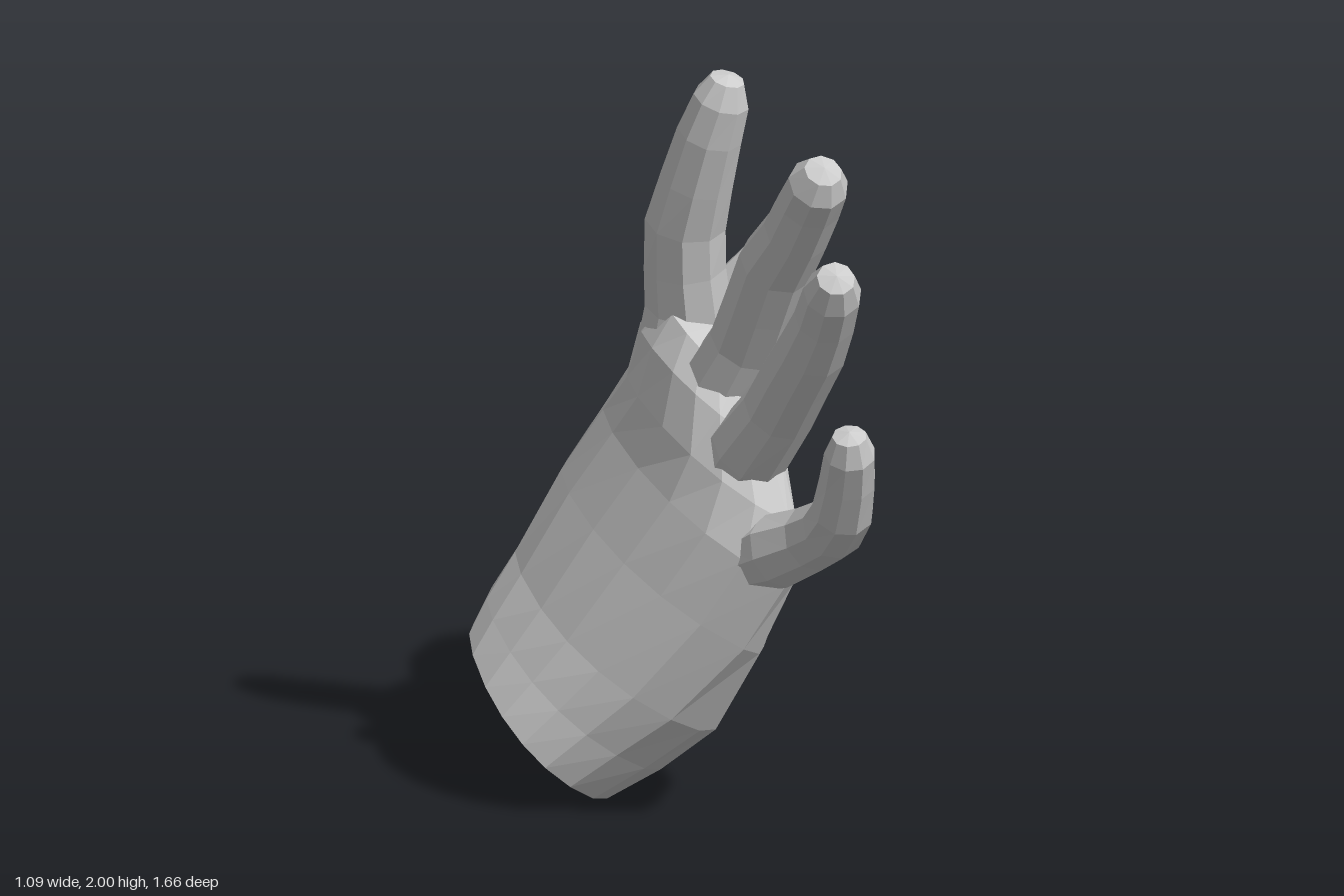
import * as THREE from 'three';

const V = (a) => new THREE.Vector3(...a);
const material = new THREE.MeshStandardMaterial({ color: 0xcccccc, flatShading: true });

// Skin a list of equal-sized rings, closing both ends with a fan.
function loft(name, rings, dome) {
  const n = rings[0].length;
  const centre = (ring) => ring.reduce((s, p) => s.add(p), new THREE.Vector3()).divideScalar(n);
  const tip = centre(rings[rings.length - 1]);
  tip.addScaledVector(tip.clone().sub(centre(rings[rings.length - 2])).normalize(), dome);
  const points = [...rings.flat(), centre(rings[0]), tip];
  const start = rings.length * n, end = start + 1, last = (rings.length - 1) * n;
  const index = [];
  for (let j = 0; j < n; j++) {
    const k = (j + 1) % n;
    for (let i = 0; i < rings.length - 1; i++) {
      const a = i * n + j, b = i * n + k;
      index.push(a, b, b + n, a, b + n, a + n);
    }
    index.push(start, k, j, end, last + j, last + k);
  }
  const indexed = new THREE.BufferGeometry().setFromPoints(points);
  indexed.setIndex(index);
  const geometry = indexed.toNonIndexed();
  geometry.computeVertexNormals();
  const mesh = new THREE.Mesh(geometry, material);
  mesh.name = name;
  return mesh;
}

// Palm section: little-finger edge, thumb edge, back depth, palm depth, depth direction.
function palmRing([little, thumb, back, front, dir = [0.86, -0.5, 0]], sides = 18) {
  const mid = V(little).add(V(thumb)).multiplyScalar(0.5);
  const half = V(little).sub(mid);
  const depth = V(dir).normalize();
  return Array.from({ length: sides }, (_, j) => {
    const a = (j / sides) * Math.PI * 2;
    const [u, v] = [Math.cos(a), Math.sin(a)].map((c) => Math.sign(c) * Math.abs(c) ** 0.9);
    return mid.clone().addScaledVector(half, u).addScaledVector(depth, v * (v > 0 ? front : back));
  });
}

// Digit: centre line points [x, y, z, radius], rings square to the line.
function digit(name, path, sides = 9) {
  const p = path.map(([x, y, z]) => new THREE.Vector3(x, y, z));
  const rings = p.map((c, i) => {
    const t = p[Math.min(i + 1, p.length - 1)].clone().sub(p[Math.max(i - 1, 0)]).normalize();
    const u = new THREE.Vector3(1, -0.3, 0).cross(t).normalize();
    const v = t.clone().cross(u);
    return Array.from({ length: sides }, (_, j) => {
      const a = ((j + 0.5) / sides) * Math.PI * 2, r = path[i][3] * 1.03;
      return c.clone().addScaledVector(u, r * Math.cos(a)).addScaledVector(v, r * Math.sin(a));
    });
  });
  return loft(name, rings, path[path.length - 1][3] * 0.3);
}

export function createModel() {
  const hand = new THREE.Group();
  hand.name = 'hand';

  // Palm, from the cut wrist to the knuckles
  const sections = [
    [[-0.385, 0.065, 0.0], [-0.32, 0.32, -0.62], 0.235, 0.25, [0.8, -0.58, -0.15]],
    [[-0.28, 0.16, 0.07], [-0.24, 0.39, -0.66], 0.26, 0.28, [0.83, -0.55, -0.07]],
    [[-0.16, 0.27, 0.16], [-0.1, 0.49, -0.71], 0.305, 0.27],
    [[0.0, 0.48, 0.28], [0.06, 0.68, -0.745], 0.345, 0.16],
    [[0.09, 0.67, 0.36], [0.14, 0.86, -0.68], 0.33, 0.085],
    [[0.11, 0.83, 0.33], [0.08, 1.02, -0.47], 0.265, 0.095],
    [[0.09, 1.02, 0.23], [0.03, 1.19, -0.36], 0.185, 0.13],
    [[0.08, 1.15, 0.12], [0.03, 1.31, -0.28], 0.115, 0.12],
  ];
  hand.add(loft('palm', sections.map((s) => palmRing(s)), 0.04));

  // Fingers, thumb and the fleshy mound at the thumb's base
  const digits = {
    indexFinger: [
      [-0.02, 1.02, -0.26, 0.08], [0.02, 1.16, -0.23, 0.12], [0.03, 1.3, -0.2, 0.115], [0.01, 1.42, -0.175, 0.108],
      [0.0, 1.55, -0.145, 0.107], [0.01, 1.68, -0.09, 0.097], [0.025, 1.82, -0.035, 0.087],
      [0.045, 1.92, 0.0, 0.075], [0.055, 1.98, 0.018, 0.046],
    ],
    middleFinger: [
      [-0.02, 0.99, -0.06, 0.08], [0.04, 1.12, 0.01, 0.115], [0.08, 1.27, 0.1, 0.102], [0.09, 1.4, 0.18, 0.1],
      [0.1, 1.53, 0.26, 0.1], [0.12, 1.64, 0.355, 0.088], [0.13, 1.74, 0.43, 0.085],
      [0.13, 1.81, 0.495, 0.08], [0.13, 1.855, 0.53, 0.05],
    ],
    ringFinger: [
      [0.0, 0.88, 0.1, 0.08], [0.05, 1.0, 0.19, 0.108], [0.09, 1.14, 0.305, 0.097], [0.1, 1.26, 0.41, 0.095],
      [0.11, 1.36, 0.5, 0.092], [0.11, 1.47, 0.597, 0.082], [0.1, 1.56, 0.675, 0.077], [0.09, 1.615, 0.727, 0.05],
    ],
    littleFinger: [
      [0.02, 0.7, 0.22, 0.08], [0.08, 0.76, 0.33, 0.1], [0.13, 0.82, 0.45, 0.088], [0.145, 0.875, 0.56, 0.084],
      [0.14, 0.95, 0.65, 0.081], [0.13, 1.05, 0.71, 0.074], [0.115, 1.14, 0.765, 0.067], [0.105, 1.195, 0.787, 0.045],
    ],
    thumb: [
      [-0.17, 0.38, -0.46, 0.12], [-0.03, 0.48, -0.53, 0.18], [0.05, 0.6, -0.565, 0.193], [0.115, 0.74, -0.625, 0.165],
      [0.18, 0.88, -0.685, 0.122], [0.27, 1.02, -0.715, 0.11], [0.36, 1.13, -0.695, 0.104],
      [0.435, 1.22, -0.67, 0.095], [0.485, 1.28, -0.655, 0.079], [0.51, 1.31, -0.65, 0.047],
    ],
    thumbMound: [
      [-0.2, 0.28, -0.36, 0.1], [-0.05, 0.42, -0.43, 0.18], [0.03, 0.57, -0.48, 0.185],
      [0.09, 0.72, -0.54, 0.155], [0.14, 0.85, -0.61, 0.115], [0.17, 0.93, -0.66, 0.08],
    ],
  };
  for (const [name, path] of Object.entries(digits)) hand.add(digit(name, path));

  return hand;
}
